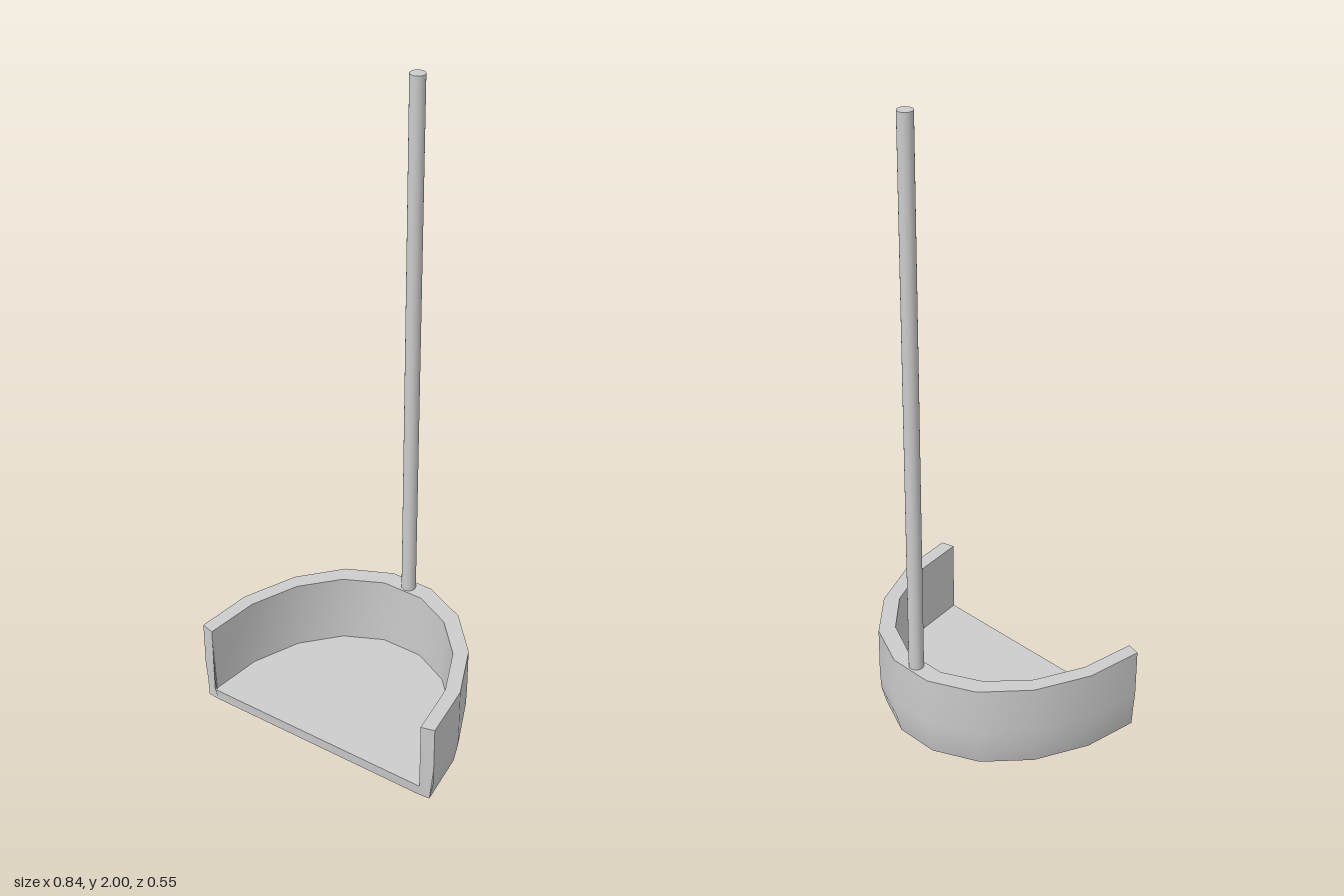
import * as THREE from 'three';
import { toCreasedNormals } from 'three/addons/utils/BufferGeometryUtils.js';

const RIM = 0.275, FLOOR = 0.04;

// Half plans of the wall, from the open front to the back, as [x, z]
const OUTER = [[0.418, 0.262], [0.395, 0.083], [0.322, -0.085], [0.21, -0.21], [0.07, -0.275]];
const INNER = [[0.377, 0.273], [0.353, 0.1], [0.288, -0.05], [0.188, -0.16], [0.068, -0.218]];
const mirror = (half) => [...half, ...half.slice().reverse().map(([x, z]) => [-x, z])];

function panGeometry() {
  const outer = mirror(OUTER), inner = mirror(INNER);

  // Wall section at each station: up the outside, over the rim, down the inside
  const sections = outer.map(([ox, oz], i) => {
    const [ix, iz] = inner[i];
    return [
      [ox * 0.975, 0, 0.265 + (oz - 0.262) * 0.968],
      [ox * 0.995, 0.06, oz * 0.985],
      [ox, 0.12, oz],
      [ox, RIM, oz],
      [ix, RIM, iz],
      [ix, FLOOR, iz],
      [ix * 0.985, 0, Math.min(iz, 0.268)],
    ];
  });

  const positions = [];
  const fan = (pts) => {
    for (let i = 1; i < pts.length - 1; i++) positions.push(...pts[0], ...pts[i], ...pts[i + 1]);
  };

  const n = sections.length, m = sections[0].length;
  for (let i = 0; i < n - 1; i++) {
    for (let j = 0; j < m; j++) {
      if (j === m - 2) continue; // inside the solid floor
      const k = (j + 1) % m;
      fan([sections[i][j], sections[i + 1][j], sections[i + 1][k], sections[i][k]]);
    }
  }
  // Wall ends, floor, underside and front edge of the floor
  fan(sections[0]);
  fan(sections[n - 1].slice().reverse());
  fan(sections.map((s) => s[m - 2]));
  fan(sections.map((s) => s[m - 1]).reverse());
  fan([sections[n - 1][m - 1], sections[0][m - 1], sections[0][m - 2], sections[n - 1][m - 2]]);

  const geometry = new THREE.BufferGeometry();
  geometry.setAttribute('position', new THREE.Float32BufferAttribute(positions, 3));
  return toCreasedNormals(geometry, THREE.MathUtils.degToRad(35));
}

export function createModel() {
  const group = new THREE.Group();
  const material = new THREE.MeshStandardMaterial({ color: 0xcccccc });

  const pan = new THREE.Mesh(panGeometry(), material);
  pan.name = 'pan';

  // Upright pole standing on the back of the rim
  const bottom = RIM - 0.01;
  const handle = new THREE.Mesh(new THREE.CylinderGeometry(0.0225, 0.0225, 2 - bottom, 24), material);
  handle.name = 'handle';
  handle.position.set(0.005, (2 + bottom) / 2, -0.246);

  group.add(pan, handle);
  return group;
}
